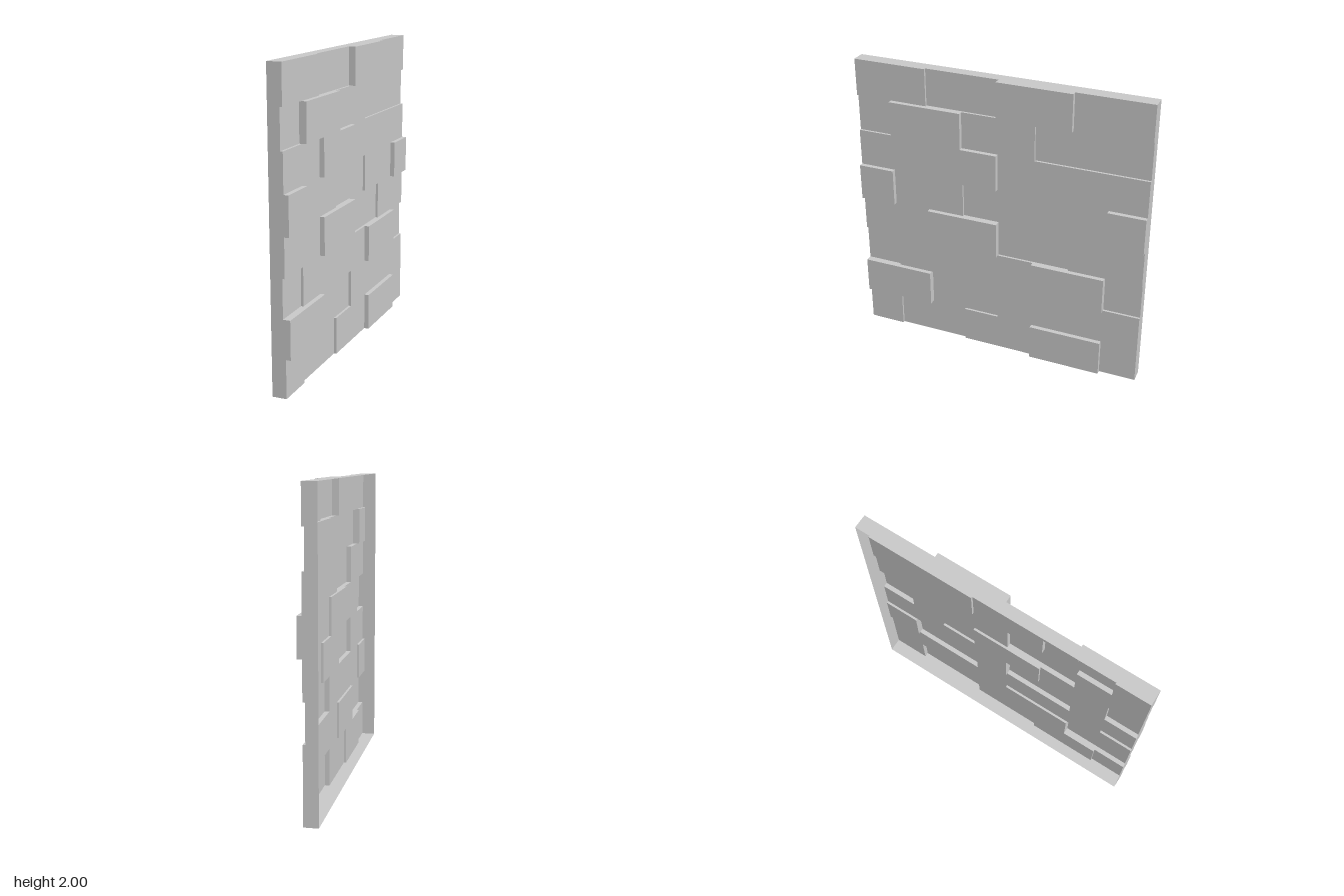
import * as THREE from 'three';

const BACK = -0.0625;                                  // open rear rim
const DEPTH = { A: 0.0156, B: 0.0312, C: 0.0625 };     // low, middle and proud bricks
const N = 8, S = 0.25;

// Brick depths, bottom row first, running from +z to -z.
// Even rows start and end with a half brick; odd rows hold four whole bricks.
const COURSES = ['BABCB', 'CABB', 'ABBCA', 'BCAB', 'CBABC', 'BCBB', 'ACBAA', 'BACB'];

const material = new THREE.MeshStandardMaterial({
  color: 0xcccccc, flatShading: true, side: THREE.DoubleSide,
});

// Depth of the half-brick cell at (row, column); outside the panel it drops to the rim
function depthAt(row, col) {
  if (row < 0 || row >= N || col < 0 || col >= N) return BACK;
  const brick = Math.floor((col + (row % 2 === 0 ? 1 : 0)) / 2);
  return DEPTH[COURSES[row][brick]];
}

function quad(out, a, b, c, d) {
  out.push(...a, ...b, ...c, ...a, ...c, ...d);
}

function quadMesh(name, positions) {
  const geometry = new THREE.BufferGeometry();
  geometry.setAttribute('position', new THREE.Float32BufferAttribute(positions, 3));
  geometry.computeVertexNormals();
  const mesh = new THREE.Mesh(geometry, material);
  mesh.name = name;
  return mesh;
}

export function createModel() {
  const group = new THREE.Group();
  group.name = 'brickWallPanel';
  const faces = [], steps = [], rim = [];

  for (let row = 0; row <= N; row++) {
    for (let col = 0; col <= N; col++) {
      const y0 = row * S, y1 = y0 + S;
      const z1 = 1 - col * S, z0 = z1 - S;
      const h = depthAt(row, col);

      // Brick face
      if (row < N && col < N) {
        quad(faces, [h, y0, z1], [h, y0, z0], [h, y1, z0], [h, y1, z1]);
      }

      // Upright step towards the previous cell in the course
      const side = depthAt(row, col - 1);
      if (row < N && side !== h) {
        quad(col % N === 0 ? rim : steps,
          [side, y0, z1], [h, y0, z1], [h, y1, z1], [side, y1, z1]);
      }

      // Level step towards the course below
      const below = depthAt(row - 1, col);
      if (col < N && below !== h) {
        quad(row % N === 0 ? rim : steps,
          [below, y0, z0], [h, y0, z0], [h, y0, z1], [below, y0, z1]);
      }
    }
  }

  group.add(quadMesh('brickFaces', faces), quadMesh('brickSteps', steps), quadMesh('panelRim', rim));
  return group;
}
